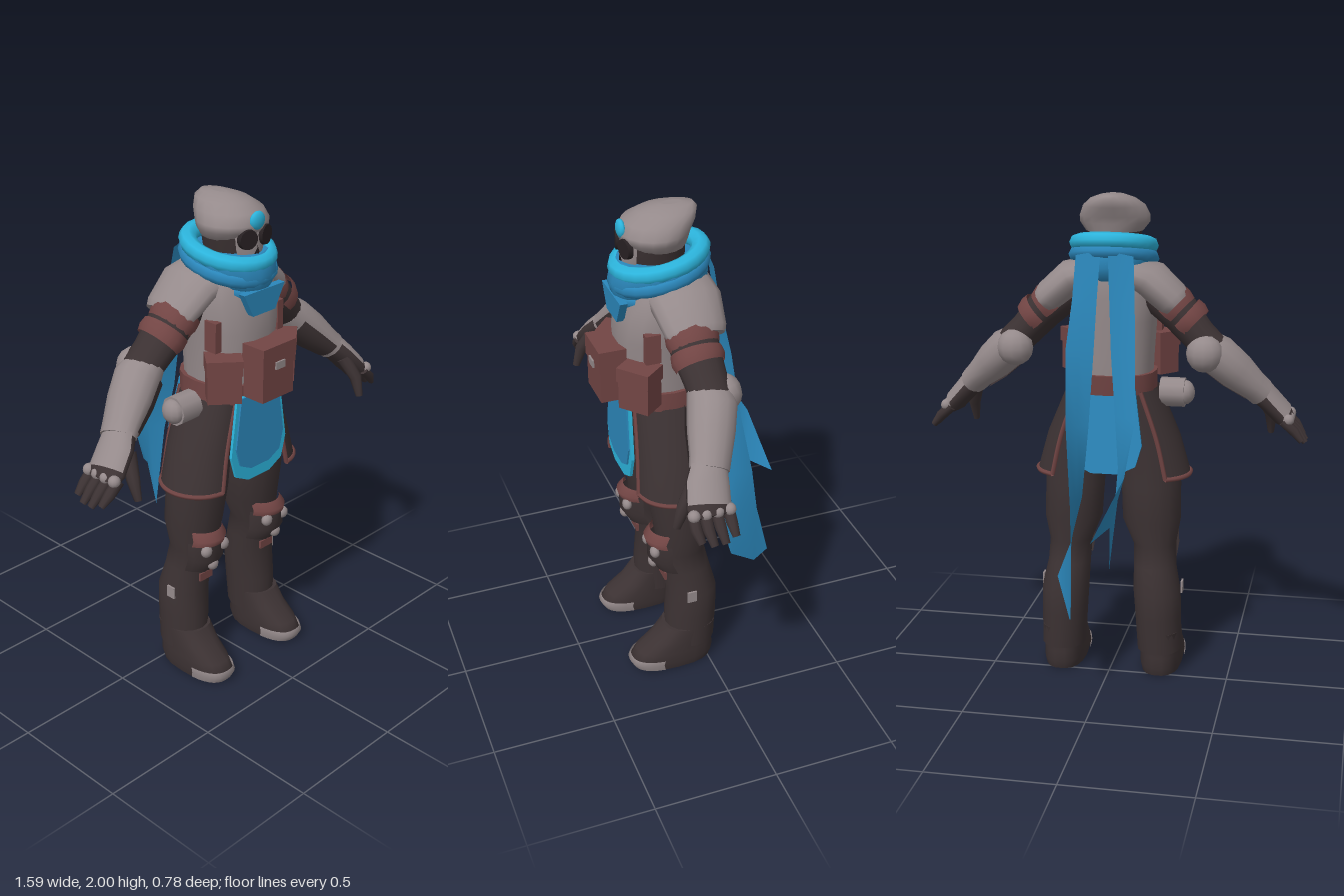
import * as THREE from 'three';

const mat = (name, color, side = THREE.DoubleSide) => {
  const m = new THREE.MeshStandardMaterial({ color, side });
  m.name = name;
  return m;
};
const V = (x, y, z) => new THREE.Vector3(x, y, z);

// Indexed surface from a grid of points
function surface(points, index) {
  const g = new THREE.BufferGeometry().setFromPoints(points);
  g.setIndex(index);
  g.computeVertexNormals();
  return g;
}

// Loft of elliptical rings [x, y, z, a, b]. upright keeps rings level (rows rise in y);
// arc limits the sweep and leaves the shell open; p under 1 squares the ring off.
function loft(rows, { n = 14, upright = false, arc = null, p = 1 } = {}) {
  const pts = [], idx = [], c = rows.map(r => V(r[0], r[1], r[2]));
  const cols = arc ? n + 1 : n, pw = k => Math.sign(k) * Math.abs(k) ** p;
  rows.forEach((r, i) => {
    const T = upright ? V(0, 1, 0)
      : c[Math.min(i + 1, c.length - 1)].clone().sub(c[Math.max(i - 1, 0)]).normalize();
    const v = V(0, 0, 1).addScaledVector(T, -T.z).normalize(), u = T.clone().cross(v);
    for (let j = 0; j < cols; j++) {
      const t = arc ? arc[0] + (arc[1] - arc[0]) * j / n : j / n * Math.PI * 2;
      pts.push(c[i].clone().addScaledVector(u, r[3] * pw(Math.cos(t))).addScaledVector(v, r[4] * pw(Math.sin(t))));
    }
  });
  for (let i = 0; i < rows.length - 1; i++) for (let j = 0; j < n; j++) {
    const a = i * cols + j, b = i * cols + (j + 1) % cols;
    idx.push(a, a + cols, b, b, a + cols, b + cols);
  }
  if (!arc) [0, rows.length - 1].forEach(k => {
    const o = pts.length, s = k * n;
    pts.push(c[k]);
    for (let j = 0; j < n; j++) pts.push(pts[s + j].clone());
    for (let j = 0; j < n; j++) {
      const a = o + 1 + j, b = o + 1 + (j + 1) % n;
      k ? idx.push(o, b, a) : idx.push(o, a, b);
    }
  });
  return surface(pts, idx);
}

// Cloth strip: rows of [left, right] points, ending in a forked row of three points
function ribbon(rows, fork) {
  const pts = [], idx = [];
  rows.forEach(([a, b]) => pts.push(V(...a), V(...a).lerp(V(...b), 0.5), V(...b)));
  fork.forEach(q => pts.push(V(...q)));
  for (let i = 0; i < rows.length; i++) for (let j = 0; j < 2; j++) {
    const a = i * 3 + j;
    idx.push(a, a + 3, a + 1, a + 1, a + 3, a + 4);
  }
  return surface(pts, idx);
}

export function createModel() {
  const root = new THREE.Group();
  const grey = mat('grey armour', 0x958a8b), dark = mat('dark fabric', 0x3c3233),
    maroon = mat('maroon leather', 0x724544), blue = mat('blue cloth', 0x2b87bb),
    cyan = mat('cyan cloth', 0x2cb4dc), black = mat('black lens', 0x272022);
  const add = (parent, name, geo, m, x = 0, y = 0, z = 0, rx = 0, ry = 0, rz = 0) => {
    const o = new THREE.Mesh(geo, m);
    o.name = name;
    o.position.set(x, y, z);
    o.rotation.set(rx, ry, rz);
    parent.add(o);
    return o;
  };
  const box = (w, h, d) => new THREE.BoxGeometry(w, h, d);
  const ball = (r, sx = 1, sy = 1, sz = 1) => new THREE.SphereGeometry(r, 12, 8).scale(sx, sy, sz);
  const up = { upright: true, n: 18 };

  // Torso, hips and belt
  add(root, 'torso', loft([[0, 1.2, .11, .16, .155], [0, 1.35, .115, .165, .17], [0, 1.5, .12, .175, .175],
    [0, 1.6, .11, .19, .17], [0, 1.69, .1, .17, .155], [0, 1.76, .1, .12, .13]], { ...up, p: .85 }), grey);
  add(root, 'hips', loft([[0, 1.0, .11, .12, .11], [0, 1.1, .11, .18, .14], [0, 1.22, .11, .18, .155]], up), dark);
  add(root, 'belt', loft([[0, 1.21, .11, .18, .17], [0, 1.29, .11, .178, .178]], { ...up, p: .85 }), maroon);
  add(root, 'centrePouch', box(.17, .2, .1), maroon, 0, 1.35, .33);
  add(root, 'centrePouchFlap', box(.18, .09, .11), maroon, 0, 1.425, .33);
  add(root, 'pouchClasp', box(.05, .03, .008), grey, 0, 1.39, .388);

  // Canister hung on the right hip
  add(root, 'canister', new THREE.CylinderGeometry(.06, .06, .1, 10).rotateZ(Math.PI / 2), grey, -.245, 1.2, .11);
  add(root, 'canisterEnd', ball(.05, .8), grey, -.295, 1.2, .11);

  // Head, mask and cap
  add(root, 'head', loft([[0, 1.66, .11, .08, .08], [0, 1.76, .12, .085, .11], [0, 1.85, .13, .112, .12],
    [0, 1.93, .13, .115, .12]], up), dark);
  add(root, 'mask', loft([[0, 1.72, .135, .06, .115], [0, 1.77, .135, .075, .125], [0, 1.82, .135, .1, .128],
    [0, 1.9, .135, .112, .124]], { upright: true, arc: [.75, Math.PI - .75], n: 8 }), grey);
  add(root, 'nose', new THREE.CylinderGeometry(0, .02, .04, 3).scale(1, 1, .3), black, 0, 1.815, .262);
  for (let i = -1; i <= 1; i++) add(root, 'maskSlot', box(.008, .03, .008), black, i * .024, 1.765, .258);
  add(root, 'cap', loft([[0, 1.85, .12, .115, .11], [0, 1.885, .133, .142, .132], [0, 1.91, .13, .143, .137],
    [0, 1.95, .11, .125, .14], [0, 1.98, .078, .09, .116], [0, 1.995, .06, .05, .085], [0, 2, .06, .02, .04]], up), grey);
  add(root, 'capGem', ball(.038, 1, .95, .45), cyan, 0, 1.925, .258);

  // Scarf: draped lower fold, rolled collar and bib
  add(root, 'scarfDrape', loft([[0, 1.63, .14, .07, .14], [0, 1.67, .12, .13, .18], [0, 1.72, .115, .165, .195],
    [0, 1.78, .11, .172, .185], [0, 1.8, .11, .15, .16]], up), blue);
  const roll = (r, t, sz, y, tilt, m) => add(root, 'scarfRoll',
    new THREE.TorusGeometry(r, t, 8, 24).rotateX(Math.PI / 2).scale(1, 1, sz), m, 0, y, .11, tilt);
  roll(.145, .034, 1.12, 1.795, .2, cyan);
  roll(.15, .032, 1.12, 1.745, .24, blue);
  roll(.12, .028, 1.3, 1.69, .26, blue);
  const bib = new THREE.Shape([[-.11, 1.67], [-.06, 1.575], [.06, 1.575], [.11, 1.67]].map(q => new THREE.Vector2(...q)));
  add(root, 'bib', new THREE.ExtrudeGeometry(bib, { depth: .03, bevelEnabled: false }), blue, 0, 0, .272);

  // Front and back tabards, hung from the belt
  const tabard = k => new THREE.ExtrudeGeometry(new THREE.Shape(
    [[-.12, 0], [-.155, -.24], [-.13, -.33], [-.06, -.365], [.06, -.365], [.13, -.33], [.155, -.24], [.12, 0]]
      .map(q => new THREE.Vector2(q[0] * k, q[1] * k))), { depth: .012, bevelEnabled: false });
  add(root, 'frontTabardEdge', tabard(1), cyan, 0, 1.245, .27, -.02);
  add(root, 'frontTabard', tabard(.86), blue, 0, 1.245, .277, -.02);
  add(root, 'backTabard', tabard(.95), blue, 0, 1.24, -.045, .15);

  // Two long scarf tails
  add(root, 'leftScarfTail', ribbon([[[.02, 1.79, -.075], [.12, 1.77, -.065]], [[.03, 1.6, -.1], [.13, 1.6, -.09]],
    [[.04, 1.4, -.115], [.15, 1.4, -.13]], [[.06, 1.1, -.12], [.14, 1.1, -.18]],
    [[.09, .8, -.11], [.11, .8, -.25]], [[.14, .6, -.1], [.1, .6, -.28]]],
    [[.19, .46, -.13], [.11, .33, -.27], [.09, .36, -.34]]), blue);
  add(root, 'rightScarfTail', ribbon([[[-.01, 1.79, -.08], [-.11, 1.77, -.07]], [[-.02, 1.6, -.1], [-.12, 1.6, -.1]],
    [[-.03, 1.4, -.12], [-.13, 1.4, -.14]], [[-.05, 1.15, -.14], [-.14, 1.15, -.2]],
    [[-.07, .95, -.18], [-.12, .95, -.32]]],
    [[-.05, .55, -.26], [-.06, .74, -.3], [0, .7, -.39]]), blue);

  // Everything below is built for the left side, then mirrored
  const left = new THREE.Group();
  left.name = 'leftSide';
  root.add(left);
  const part = (...a) => add(left, ...a);

  part('gogglesLens', new THREE.CylinderGeometry(.038, .041, .02, 14).rotateX(Math.PI / 2), black, .046, 1.862, .255, 0, .25);

  // Shoulder mantle, upper arm and pads
  part('shoulderMantle', loft([[.06, 1.7, .07, .06, .14], [.16, 1.665, .06, .075, .14], [.25, 1.585, .055, .07, .12],
    [.265, 1.57, .055, .06, .11]]), grey);
  part('upperArm', loft([[.17, 1.62, .07, .08, .09], [.28, 1.53, .07, .08, .095], [.35, 1.45, .06, .07, .085],
    [.43, 1.37, .05, .07, .08]]), dark);
  const cuff = (x, y, d) => loft([[x, y, .07, .088, .1], [x + d, y - d * .9, .07, .09, .104], [x + 2 * d, y - 1.8 * d, .068, .08, .095]],
    { arc: [Math.PI - 2, Math.PI + 2], n: 12 });
  part('upperArmPad', cuff(.225, 1.58, .026), maroon);
  part('lowerArmPad', cuff(.29, 1.523, .022), maroon);
  part('chestStrap', box(.03, .12, .06), maroon, .172, 1.5, .2);

  // Gauntlet, elbow guard and glove
  part('elbowGuard', ball(.075, 1, 1, .9), grey, .385, 1.385, -.005);
  part('gauntlet', loft([[.385, 1.41, .055, .065, .085], [.43, 1.37, .06, .083, .095], [.5, 1.305, .09, .078, .09],
    [.57, 1.24, .12, .06, .078], [.6, 1.21, .135, .058, .075]]), grey);
  part('gauntletUnderside', loft([[.43, 1.367, .07, .085, .092], [.5, 1.302, .1, .081, .088], [.58, 1.228, .13, .062, .075]],
    { arc: [-.2, 1.5], n: 8 }), dark);
  part('palm', loft([[.58, 1.23, .13, .05, .065], [.63, 1.175, .155, .045, .08], [.69, 1.11, .17, .042, .085],
    [.715, 1.085, .17, .03, .075]]), dark);
  part('handPlate', loft([[.59, 1.22, .135, .054, .07], [.63, 1.175, .155, .052, .083], [.685, 1.115, .17, .049, .085]],
    { arc: [Math.PI - 1.3, Math.PI + 1.3], n: 10 }), grey);
  for (let i = 0; i < 4; i++) {
    const z = .1 + i * .046, l = [.9, 1.05, 1.05, .9][i];
    part('knuckle', ball(.024), grey, .715, 1.105, z);
    part('finger', loft([[.695, 1.1, z, .022, .024], [.695 + .05 * l, 1.1 - .045 * l, z, .021, .022],
      [.695 + .085 * l, 1.1 - .09 * l, z * .95, .012, .015]], { n: 8 }), dark);
  }
  part('thumb', loft([[.61, 1.17, .2, .03, .03], [.635, 1.09, .25, .025, .027], [.635, 1.01, .275, .013, .016]], { n: 8 }), dark);

  // Side pouch
  part('sidePouch', box(.13, .16, .1), maroon, .165, 1.335, .25, 0, .7);
  part('sidePouchFlap', box(.14, .06, .11), maroon, .165, 1.4, .25, 0, .7);

  // Leg and boot
  part('leg', loft([[.205, .1, .065, .092, .105], [.2, .25, .06, .097, .11], [.195, .36, .055, .1, .107],
    [.182, .47, .075, .09, .1], [.178, .56, .095, .09, .1], [.165, .67, .085, .122, .115], [.16, .82, .1, .125, .125],
    [.15, 1, .11, .123, .125], [.11, 1.15, .11, .1, .135], [.09, 1.22, .11, .09, .13]], { upright: true, n: 16 }), dark);
  part('bootFoot', loft([[.208, 0, .145, .082, .165], [.208, .035, .148, .09, .18], [.208, .08, .135, .088, .165],
    [.206, .13, .1, .088, .13], [.205, .19, .07, .09, .11]], { upright: true, n: 18, p: .8 }), dark);
  part('toeTrim', loft([[.208, .005, .146, .088, .172], [.208, .035, .149, .094, .186], [.208, .055, .145, .093, .18]],
    { upright: true, arc: [.25, Math.PI - .25], n: 14, p: .8 }), grey);
  part('bootBuckle', box(.008, .05, .04), grey, .296, .37, .085);

  // Knee pad with studs
  part('kneePad', loft([[.18, .48, .1, .09, .1], [.18, .54, .12, .098, .115], [.18, .62, .12, .095, .115]],
    { upright: true, arc: [.35, Math.PI - .35], n: 10 }), dark);
  part('kneeBand', loft([[.178, .61, .12, .1, .12], [.176, .635, .125, .1, .122], [.172, .665, .11, .09, .11]],
    { upright: true, arc: [.5, Math.PI - .5], n: 10 }), maroon);
  part('shinPatch', box(.07, .035, .01), maroon, .18, .44, .17);
  [[.13, .59, .22], [.225, .59, .22], [.185, .515, .215]].forEach(q => part('kneeStud', ball(.026, 1, 1, .8), grey, ...q));

  // Coat flap with leather edging
  const flap = [[.175, .86, .12, .145, .15], [.145, 1.02, .115, .13, .145], [.09, 1.22, .11, .1, .14]];
  const arc = [-1.15, 1.5];
  part('coatFlap', loft(flap, { upright: true, arc, n: 12 }), dark);
  const at = (r, t) => V(r[0] + r[3] * Math.cos(t), r[1], r[2] + r[4] * Math.sin(t));
  const edging = pts => new THREE.TubeGeometry(new THREE.CatmullRomCurve3(pts), 20, .01, 5);
  part('flapHem', edging([0, 1, 2, 3, 4, 5, 6].map(i => at(flap[0], arc[0] + (arc[1] - arc[0]) * i / 6))), maroon);
  arc.forEach(t => part('flapEdge', edging(flap.map(r => at(r, t))), maroon));

  // Mirror the left side, turning the faces back outward
  const right = new THREE.Group();
  right.name = 'rightSide';
  root.add(right);
  left.children.forEach(o => {
    o.updateMatrix();
    const g = o.geometry.clone().applyMatrix4(o.matrix).applyMatrix4(new THREE.Matrix4().makeScale(-1, 1, 1));
    const a = g.index.array;
    for (let i = 0; i < a.length; i += 3) [a[i], a[i + 1]] = [a[i + 1], a[i]];
    add(right, o.name, g, o.material);
  });
  return root;
}
